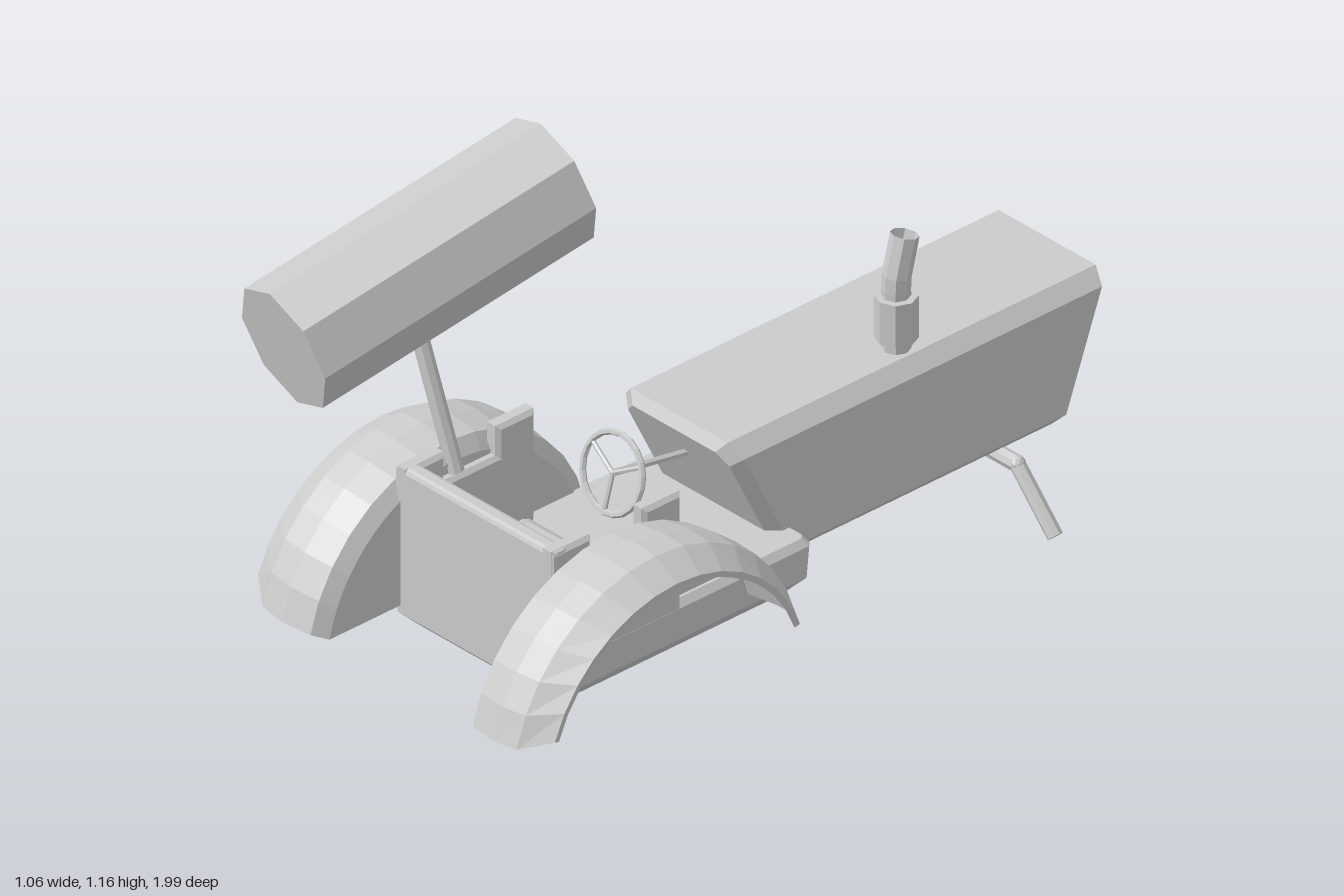
import * as THREE from 'three';
import { RoundedBoxGeometry } from 'three/addons/geometries/RoundedBoxGeometry.js';

const CX = 0.048; // centre line of the tractor body
const V = (x, y, z) => new THREE.Vector3(x, y, z);

// rectangle with cut corners, counter-clockwise
function cutRect(u0, u1, v0, v1, c) {
  return [[u1, v0 + c], [u1, v1 - c], [u1 - c, v1], [u0 + c, v1],
    [u0, v1 - c], [u0, v0 + c], [u0 + c, v0], [u1 - c, v0]];
}

// skin through a list of rings; closed rings get end caps
function loft(rings, closed = true) {
  const pos = [];
  const tri = (...ps) => ps.forEach((p) => pos.push(p.x, p.y, p.z));
  const n = rings[0].length;
  for (let k = 0; k + 1 < rings.length; k++) {
    for (let i = 0; i < (closed ? n : n - 1); i++) {
      const j = (i + 1) % n;
      const [a, b, c, d] = [rings[k][i], rings[k][j], rings[k + 1][j], rings[k + 1][i]];
      tri(a, d, b);
      tri(b, d, c);
    }
  }
  if (closed) {
    const s = rings[0], e = rings[rings.length - 1];
    for (let i = 1; i < n - 1; i++) {
      tri(s[0], s[i], s[i + 1]);
      tri(e[0], e[i + 1], e[i]);
    }
  }
  const g = new THREE.BufferGeometry();
  g.setAttribute('position', new THREE.Float32BufferAttribute(pos, 3));
  g.computeVertexNormals();
  return g;
}

export function createModel() {
  const model = new THREE.Group();
  const grey = new THREE.MeshStandardMaterial({ color: 0xcccccc, flatShading: true });
  const thin = grey.clone();
  thin.side = THREE.DoubleSide;

  const add = (name, geo, mat = grey, parent = model) => {
    const m = new THREE.Mesh(geo, mat);
    m.name = name;
    parent.add(m);
    return m;
  };
  const box = (name, x0, x1, y0, y1, z0, z1, r = 0.008) => {
    const g = new RoundedBoxGeometry(x1 - x0, y1 - y0, z1 - z0, 1, r);
    return add(name, g.translate((x0 + x1) / 2, (y0 + y1) / 2, (z0 + z1) / 2));
  };
  const rod = (name, a, b, r, sides = 8) => {
    const m = add(name, new THREE.CylinderGeometry(r, r, a.distanceTo(b), sides));
    m.position.copy(a).add(b).multiplyScalar(0.5);
    m.quaternion.setFromUnitVectors(V(0, 1, 0), b.clone().sub(a).normalize());
    return m;
  };

  // hood with raked ends and a recessed grille opening
  const rear = (y) => 0.15 - (0.497 - y) * 0.5;
  const front = (y) => -0.99 + (0.497 - y) * 0.375;
  const hoodRing = (inset, zf, dz, c) =>
    cutRect(-0.143 + inset, 0.24 - inset, 0.165 + inset, 0.52 - inset, c)
      .map(([x, y]) => V(x, y, zf(y) + dz));
  add('hood', loft([
    hoodRing(0.028, rear, 0, 0.03), hoodRing(0, rear, -0.03, 0.035),
    hoodRing(0, front, 0.03, 0.035), hoodRing(0.028, front, 0, 0.04),
    hoodRing(0.05, front, 0, 0.045), hoodRing(0.055, front, 0.05, 0.045),
  ]));
  for (let i = 0; i < 9; i++) {
    const slat = add('grilleSlat', new THREE.BoxGeometry(0.012, 0.25, 0.03));
    slat.position.set(CX + (i - 4) * 0.028, 0.3425, front(0.3425) + 0.03);
    slat.rotation.x = -Math.atan(0.375);
  }

  // chassis tub and floor
  const tubRing = (y, x0, x1, z0, z1, c) =>
    cutRect(x0, x1, z0, z1, c).map(([x, z]) => V(x, y, z));
  add('chassis', loft([
    tubRing(0.117, -0.174, 0.27, 0.035, 0.7, 0.004),
    tubRing(0.16, -0.21, 0.307, -0.022, 0.745, 0.012),
    tubRing(0.238, -0.21, 0.307, -0.03, 0.745, 0.012),
    tubRing(0.255, -0.195, 0.292, -0.02, 0.73, 0.012),
  ]));

  // cab walls: full rear panel, side panels dipping between two posts
  box('rearWall', -0.21, 0.307, 0.2, 0.535, 0.7, 0.745, 0.012);
  const side = new THREE.Shape([[0.37, 0.21], [0.37, 0.525], [0.465, 0.525], [0.465, 0.45],
    [0.64, 0.45], [0.64, 0.525], [0.735, 0.525], [0.735, 0.21]]
    .map((p) => new THREE.Vector2(...p)));
  for (const s of [-1, 1]) {
    const g = new THREE.ExtrudeGeometry(side, {
      depth: 0.025, bevelThickness: 0.01, bevelSize: 0.01, bevelSegments: 1 });
    g.translate(0, 0, -0.0125).rotateY(-Math.PI / 2);
    add('sideWall', g).position.x = CX + s * 0.236;
  }

  // seat
  add('seatPlatform', loft([
    tubRing(0.24, -0.165, 0.262, 0.39, 0.71, 0.01),
    tubRing(0.27, -0.165, 0.262, 0.39, 0.71, 0.01),
    tubRing(0.3, -0.115, 0.21, 0.44, 0.65, 0.01),
  ]));
  box('seatCushion', -0.072, 0.172, 0.29, 0.34, 0.465, 0.64, 0.012);
  box('seatBack', -0.072, 0.172, 0.32, 0.48, 0.64, 0.705, 0.012);

  // fenders: bevelled arch profile (offset from the body, radius, end angle) and an inner plate
  const profile = [[0.477, 0.375, 20], [0.479, 0.39, 20], [0.41, 0.43, 14], [0.342, 0.433, 13],
    [0.262, 0.422, 13], [0.237, 0.385, 12]];
  const [fy, fz] = [0.1, 0.58];
  for (const s of [-1, 1]) {
    const fender = new THREE.Group();
    fender.name = s > 0 ? 'leftFender' : 'rightFender';
    model.add(fender);
    const rings = [];
    for (let k = 0; k <= 14; k++) {
      rings.push(profile.map(([dx, r, end]) => {
        const a = THREE.MathUtils.degToRad(end + (180 - 2 * end) * k / 14);
        return V(CX + s * dx, fy + r * Math.sin(a), fz + r * Math.cos(a));
      }));
    }
    if (s < 0) rings.reverse();
    add('fenderArch', loft(rings, false), thin, fender);
    const plate = new THREE.Shape();
    plate.absarc(fz, fy, 0.385, 0.21, Math.PI - 0.21);
    const g = new THREE.ShapeGeometry(plate, 14).rotateY(-Math.PI / 2);
    add('fenderPlate', g, thin, fender).position.x = CX + s * 0.237;
  }

  // front axle with legs angled down on both sides
  const axleY = 0.15;
  rod('axle', V(CX - 0.21, axleY, -0.685), V(CX + 0.21, axleY, -0.685), 0.02);
  for (const s of [-1, 1]) {
    const joint = add('axleJoint', new THREE.IcosahedronGeometry(0.02, 1));
    joint.position.set(CX + s * 0.21, axleY, -0.685);
    rod('axleLeg', V(CX + s * 0.21, axleY, -0.685), V(CX + s * 0.333, 0.018, -0.685), 0.019);
  }

  // exhaust: collar, muffler and open bent pipe
  const [ex, ez] = [0.163, -0.412];
  rod('exhaustCollar', V(ex, 0.5, ez), V(ex, 0.56, ez), 0.033);
  rod('muffler', V(ex, 0.548, ez), V(ex, 0.656, ez), 0.05);
  const bend = new THREE.CatmullRomCurve3([V(ex, 0.64, ez), V(ex, 0.7, ez),
    V(ex, 0.75, ez - 0.012), V(ex, 0.802, ez - 0.025)]);
  add('exhaustPipe', new THREE.TubeGeometry(bend, 5, 0.033, 8), thin);

  // steering wheel and column
  const hub = V(CX, 0.455, 0.33);
  rod('steeringColumn', V(CX, 0.415, 0.1), hub, 0.009, 6);
  const wheel = new THREE.Group();
  wheel.name = 'steeringWheel';
  wheel.position.copy(hub);
  wheel.rotation.x = -0.28;
  model.add(wheel);
  add('wheelRim', new THREE.TorusGeometry(0.093, 0.008, 6, 20), grey, wheel);
  for (let i = 0; i < 3; i++) {
    const spoke = new THREE.CylinderGeometry(0.006, 0.006, 0.093, 6).translate(0, 0.0465, 0);
    add('wheelSpoke', spoke.rotateZ(Math.PI + i * Math.PI * 2 / 3), grey, wheel);
  }

  // searchlight: eight-sided drum with a funnel reflector, on a slanted pole
  const back = V(-0.374, 0.833, 0.923), mouth = V(-0.282, 1.011, 0.198);
  const L = back.distanceTo(mouth);
  const drum = [[0, 0], [0.157, 0], [0.157, L], [0.13, L], [0.055, L - 0.28], [0, L - 0.28]]
    .map((p) => new THREE.Vector2(...p));
  const light = new THREE.Group();
  light.name = 'searchlight';
  light.position.copy(back);
  light.lookAt(mouth);
  model.add(light);
  add('searchlightDrum', new THREE.LatheGeometry(drum, 8).rotateX(Math.PI / 2), thin, light);
  add('searchlightBulb', new THREE.CylinderGeometry(0.025, 0.035, 0.08, 8)
    .rotateX(Math.PI / 2).translate(0, 0, L - 0.24), grey, light);
  rod('searchlightPole', V(-0.185, 0.46, 0.583), V(-0.29, 0.8, 0.603), 0.02);

  return model;
}
